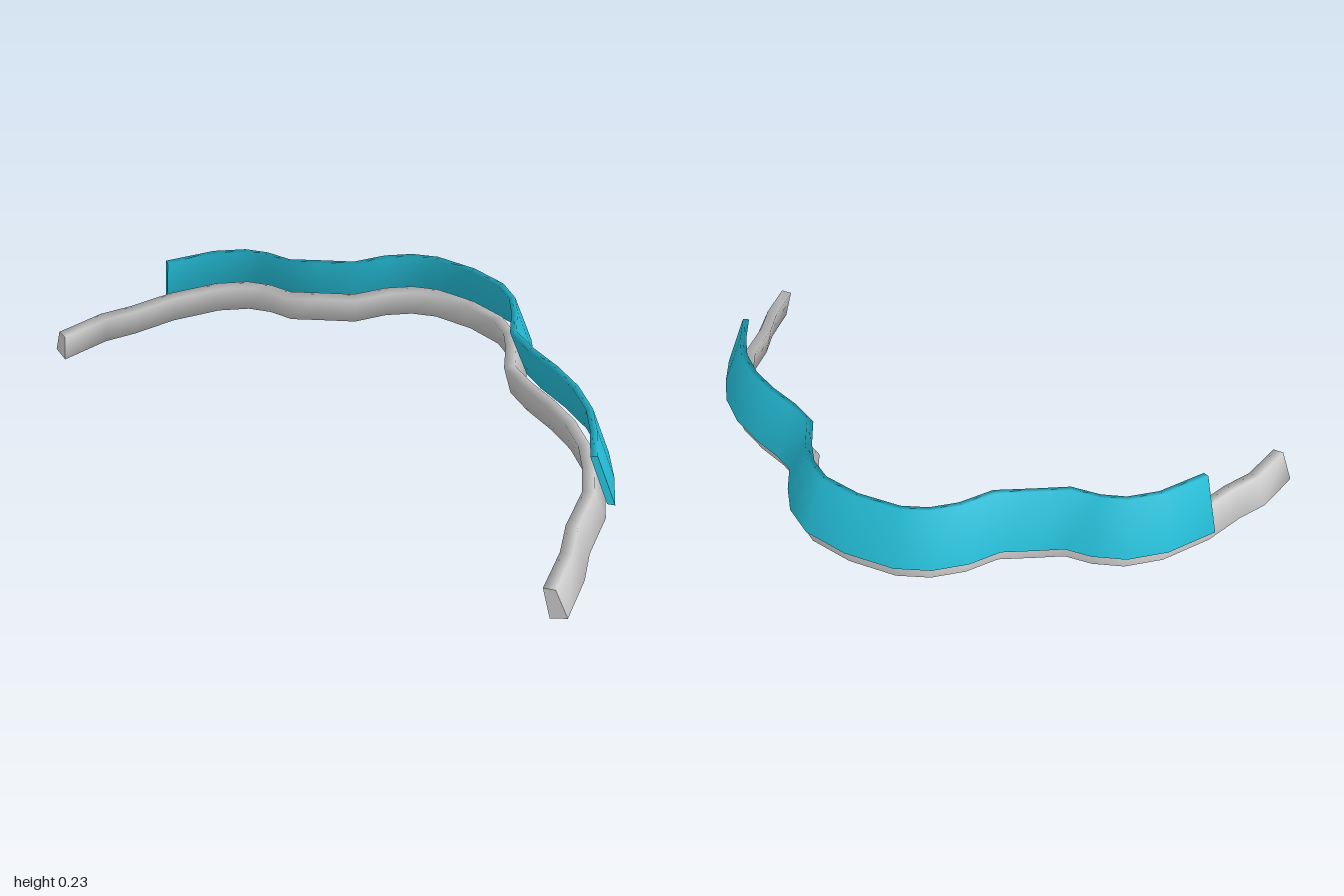
import * as THREE from 'three';

// Plan outline [x, z], running from the right tip round the back to the left tip
const PATH = [
  [-0.975, 0.523], [-0.951, 0.363], [-0.908, 0.267], [-0.865, 0.128],
  [-0.785, -0.02], [-0.705, -0.1], [-0.625, -0.135], [-0.54, -0.147],
  [-0.465, -0.2], [-0.37, -0.265], [-0.315, -0.36], [-0.245, -0.43],
  [-0.16, -0.472], [-0.015, -0.488], [0.12, -0.47], [0.205, -0.42],
  [0.262, -0.352], [0.32, -0.262], [0.405, -0.222], [0.515, -0.187],
  [0.62, -0.14], [0.715, -0.07], [0.78, 0.01], [0.845, 0.112],
  [0.887, 0.263], [0.932, 0.36], [0.973, 0.505],
];

// Cross-sections [outward offset, height], counter-clockwise
const RAIL = [[-0.027, 0], [0.021, 0.018], [-0.018, 0.105], [-0.052, 0.1]];
const BAND = [[0.02, 0.068], [0.043, 0.065], [-0.02, 0.235], [-0.04, 0.232]];

// Sweep a section along the outline with mitred corners and flat end caps
function sweep(path, section) {
  const pos = [], idx = [], n = section.length, last = path.length - 1;
  const dir = (a, b) => new THREE.Vector2(b[0] - a[0], b[1] - a[1]).normalize();
  const rings = path.map((p, i) => {
    const a = dir(path[Math.max(i - 1, 0)], path[Math.max(i, 1)]);
    const b = dir(path[Math.min(i, last - 1)], path[Math.min(i + 1, last)]);
    const t = a.clone().add(b).normalize();
    const miter = 1 / Math.max(t.dot(a), 0.7);
    return section.map(([o, y]) => [p[0] + t.y * o * miter, y, p[1] - t.x * o * miter]);
  });
  rings.forEach((ring) => ring.forEach((v) => pos.push(...v)));
  for (let i = 0; i < last; i++) {
    for (let j = 0; j < n; j++) {
      const a = i * n + j, b = i * n + (j + 1) % n;
      idx.push(a, b, a + n, b, b + n, a + n);
    }
  }
  // end caps with their own vertices
  [[rings[0], true], [rings[last], false]].forEach(([ring, flip]) => {
    const s = pos.length / 3;
    ring.forEach((v) => pos.push(...v));
    for (let j = 1; j < n - 1; j++) {
      if (flip) idx.push(s, s + j + 1, s + j);
      else idx.push(s, s + j, s + j + 1);
    }
  });
  const g = new THREE.BufferGeometry();
  g.setAttribute('position', new THREE.Float32BufferAttribute(pos, 3));
  g.setIndex(idx);
  g.computeVertexNormals();
  return g;
}

export function createModel() {
  const group = new THREE.Group();
  group.name = 'curvedBarrier';
  const grey = new THREE.MeshStandardMaterial({ color: 0xcccccc });
  grey.name = 'light grey';
  const teal = new THREE.MeshStandardMaterial({ color: 0x25c0da });
  teal.name = 'turquoise';

  // Long lower rail
  const rail = new THREE.Mesh(sweep(PATH, RAIL), grey);
  rail.name = 'lowerRail';
  // Shorter leaning band behind and above the rail
  const band = new THREE.Mesh(sweep(PATH.slice(3, 24), BAND), teal);
  band.name = 'upperBand';
  group.add(rail, band);
  return group;
}
